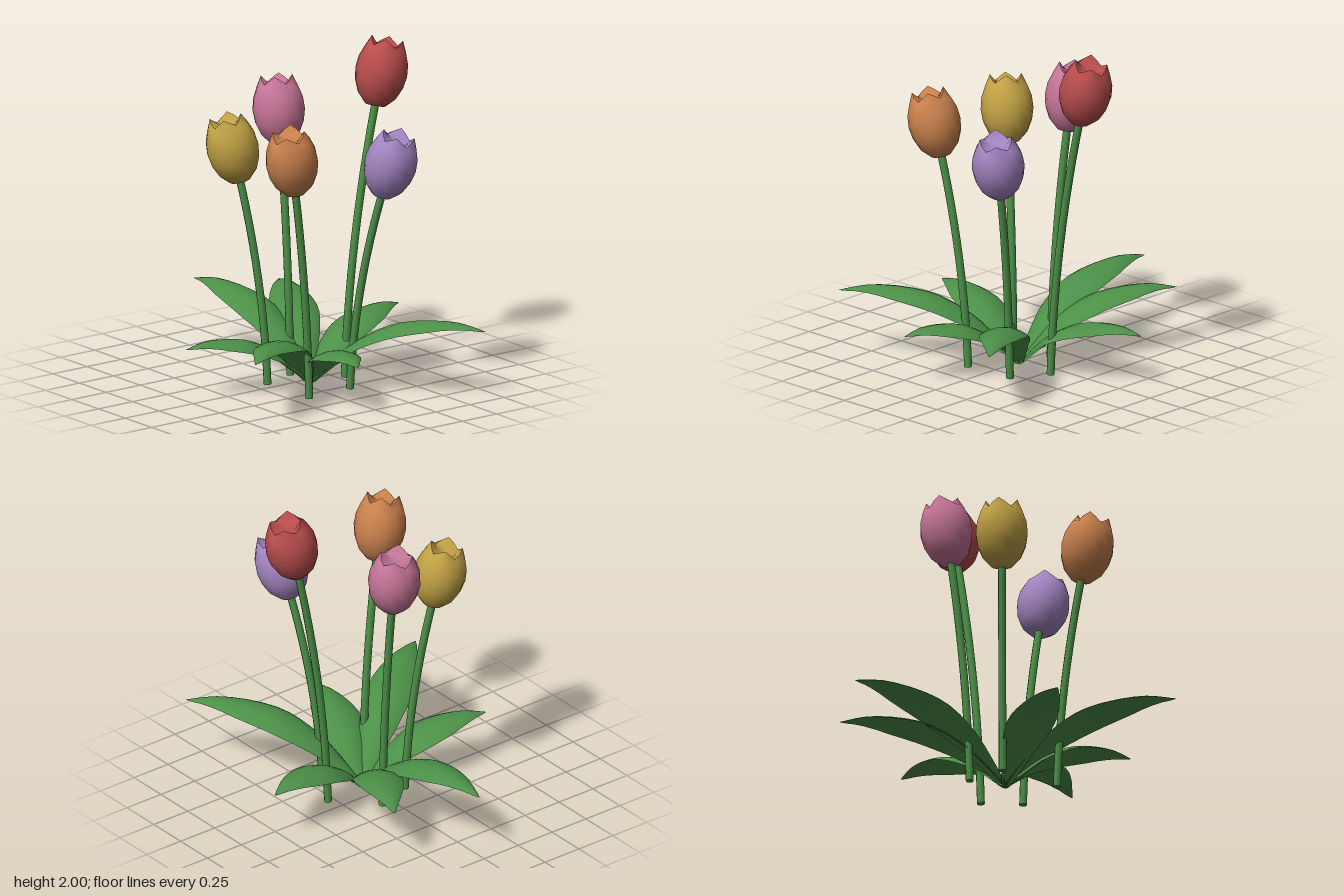
import * as THREE from 'three';
import { toCreasedNormals } from 'three/addons/utils/BufferGeometryUtils.js';

const mat = (name, color) => new THREE.MeshStandardMaterial({ name, color });
const v3 = (x, y, z) => new THREE.Vector3(x, y, z);
const UP = v3(0, 1, 0);

// Arched, tapering leaf swept from the clump centre to its tip
function leafGeometry(base, tipX, tipZ, peak) {
  const d = v3(tipX - base.x, 0, tipZ - base.z);
  const length = d.length();
  d.normalize();
  const side = UP.clone().cross(d);
  const spine = new THREE.SplineCurve([[0, 0.03], [0.12, 0.33], [0.27, 0.64], [0.5, 0.91], [0.8, 1], [1, 0.92]]
    .map(([t, h]) => new THREE.Vector2(t * length, h * peak)));
  const widths = new THREE.SplineCurve([[0, 0.02], [0.2, 0.09], [0.45, 0.14], [0.68, 0.117], [0.88, 0.056], [1, 0.002]]
    .map(([t, w]) => new THREE.Vector2(t, w)));
  const rows = 18, ring = 14, pos = [], index = [];
  for (let i = 0; i <= rows; i++) {
    const p = spine.getPoint(i / rows), tan = spine.getTangent(i / rows);
    const t = p.x / length;
    // half width at this distance along the leaf
    let k = 0;
    while (k < 60 && widths.getPoint(k / 60).x < t) k++;
    const w = widths.getPoint(k / 60).y;
    const normal = d.clone().multiplyScalar(-tan.y).addScaledVector(UP, tan.x);
    for (let j = 0; j < ring; j++) {
      const a = j / ring * Math.PI * 2, u = Math.cos(a);
      const q = base.clone().addScaledVector(d, p.x).addScaledVector(UP, p.y)
        .addScaledVector(side, u * w)
        .addScaledVector(normal, w * (-0.3 * u * u + 0.06 * Math.sin(a)));
      pos.push(q.x, Math.max(q.y, 0), q.z);
      if (i < rows) {
        const b = i * ring + j, c = i * ring + (j + 1) % ring;
        index.push(b, c, b + ring, c, c + ring, b + ring);
      }
    }
  }
  // close both ends
  const last = rows * ring;
  for (let j = 1; j < ring - 1; j++) index.push(0, j + 1, j, last, last + j, last + j + 1);
  const g = new THREE.BufferGeometry();
  g.setAttribute('position', new THREE.Float32BufferAttribute(pos, 3));
  g.setIndex(index);
  return toCreasedNormals(g, 1.0);
}

// Egg-shaped bloom with four petal points around a shallow hollow
function bloomGeometry() {
  const profile = [[0, 0], [0.06, 0.006], [0.112, 0.06], [0.142, 0.13], [0.153, 0.2], [0.146, 0.27],
    [0.122, 0.335], [0.092, 0.378], [0.05, 0.345], [0, 0.335]];
  const g = new THREE.LatheGeometry(profile.map(([r, y]) => new THREE.Vector2(r, y)), 16);
  const p = g.attributes.position;
  for (let i = 0; i < p.count; i++) {
    if (i % profile.length !== 7) continue;
    const a = Math.atan2(p.getX(i), p.getZ(i));
    p.setY(i, p.getY(i) - 0.024 * Math.cos(4 * a));
  }
  g.deleteAttribute('normal');
  g.deleteAttribute('uv');
  return toCreasedNormals(g, 0.8);
}

export function createModel() {
  const model = new THREE.Group();
  model.name = 'flowerClump';
  const green = mat('leaf green', 0x4c9048);

  // Leaves: tip x, tip z, peak height
  const leaves = new THREE.Group();
  leaves.name = 'leaves';
  const centre = v3(0.035, 0, 0.085);
  for (const [x, z, h] of [[0.02, -0.98, 0.44], [0.48, -0.77, 0.4], [0.83, -0.1, 0.34], [0.64, 0.97, 0.44],
    [-0.18, 0.82, 0.325], [-0.83, 0.69, 0.435], [-0.74, -0.08, 0.33]]) {
    const leaf = new THREE.Mesh(leafGeometry(centre, x, z, h), green);
    leaf.name = 'leaf';
    leaves.add(leaf);
  }
  model.add(leaves);

  // Flowers: stem foot, stem top, petal colour
  const bloomGeo = bloomGeometry();
  for (const [name, color, foot, top] of [
    ['red', 0xb84c4c, v3(0.29, 0, 0.09), v3(0.515, 1.59, 0.085)],
    ['pink', 0xc47496, v3(0.07, 0, -0.14), v3(0.092, 1.36, -0.255)],
    ['purple', 0xa284c0, v3(0.165, 0, 0.3), v3(0.26, 1.18, 0.475)],
    ['orange', 0xc8804c, v3(-0.15, 0, 0.32), v3(-0.3, 1.27, 0.385)],
    ['yellow', 0xc0a044, v3(-0.155, 0, -0.065), v3(-0.283, 1.22, -0.157)],
  ]) {
    const flower = new THREE.Group();
    flower.name = name + 'Flower';
    const bend = foot.clone().lerp(top, 0.14).setY(top.y / 2);
    const tilt = top.clone().sub(bend).normalize();
    const end = top.clone().addScaledVector(tilt, 0.02);
    const curve = new THREE.QuadraticBezierCurve3(foot, bend, end);
    const stem = new THREE.Mesh(new THREE.TubeGeometry(curve, 12, 0.023, 8), green);
    stem.name = 'stem';
    // flat cap under the stem
    const cap = new THREE.Mesh(new THREE.CircleGeometry(0.023, 8).rotateX(Math.PI / 2), green);
    cap.name = 'stemFoot';
    cap.position.copy(foot);
    const bloom = new THREE.Mesh(bloomGeo, mat(name + ' petals', color));
    bloom.name = 'bloom';
    bloom.position.copy(top);
    bloom.quaternion.setFromUnitVectors(UP, tilt);
    flower.add(stem, cap, bloom);
    model.add(flower);
  }
  return model;
}
